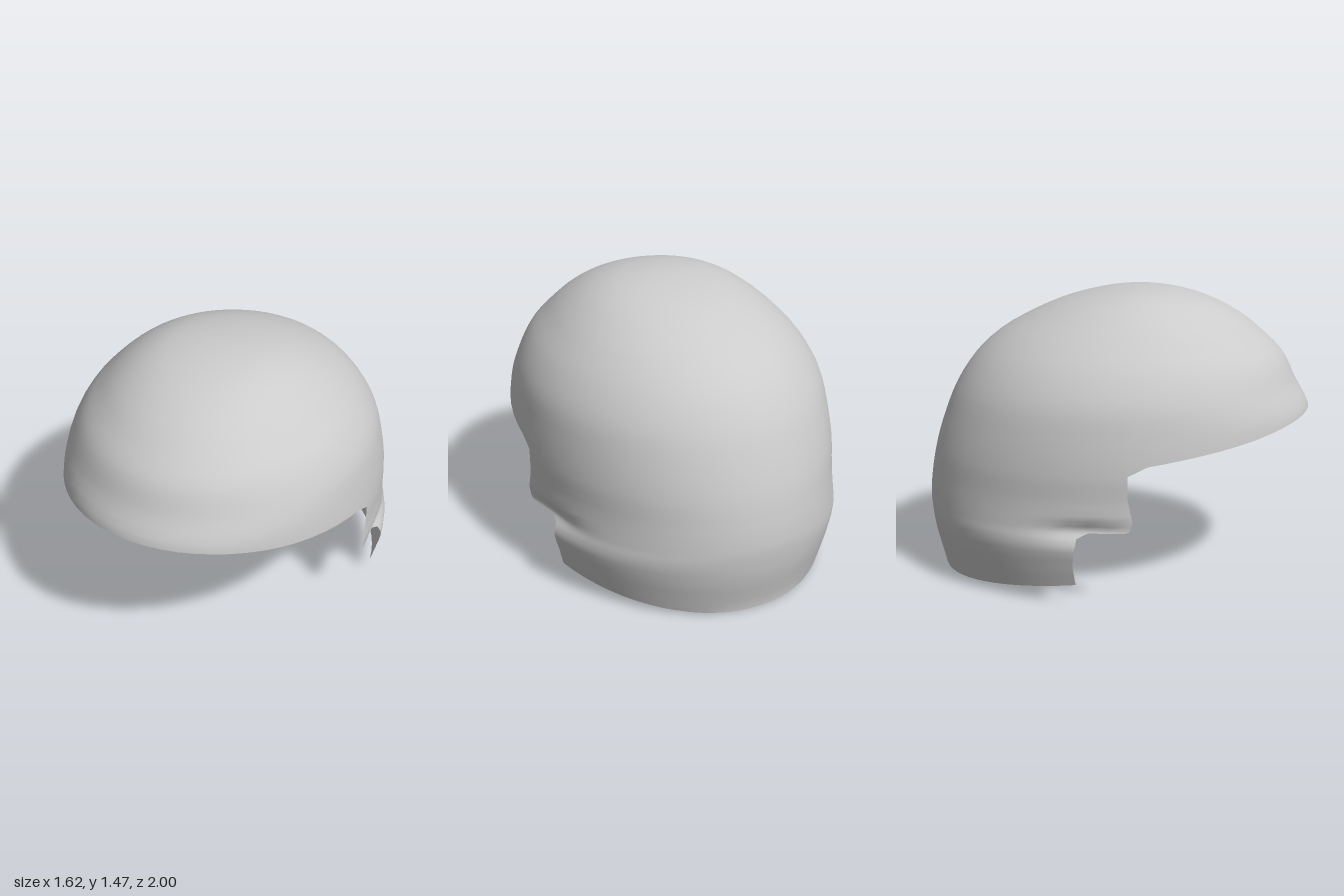
import * as THREE from 'three';

// Horizontal sections of the shell: height, half width, front z, back z, centre z
const SECTIONS = [
  [0, 0.755, 1, -0.93, 0.02], [0.1, 0.786, 1, -0.955, 0.02], [0.2, 0.815, 1, -0.98, 0.02],
  [0.3, 0.836, 1, -0.995, 0.02], [0.38, 0.82, 1, -1, 0.02], [0.5, 0.808, 1, -0.99, 0.02],
  [0.66, 0.81, 1, -0.96, 0.02], [0.845, 0.79, 1, -0.9, 0.02], [0.98, 0.76, 0.93, -0.84, 0.03],
  [1.12, 0.685, 0.86, -0.745, 0.05], [1.23, 0.59, 0.75, -0.625, 0.06], [1.31, 0.505, 0.65, -0.49, 0.08],
  [1.4, 0.37, 0.48, -0.28, 0.1], [1.445, 0.24, 0.33, -0.1, 0.11], [1.467, 0, 0.12, 0.12, 0.12],
];
const RIM = 0.66, TOP = 1.467;

// Front brim height by z, and front limit (z) of the nape by height
const BRIM = [[0.02, 0.66], [0.1, 0.703], [0.3, 0.733], [0.6, 0.777], [0.9, 0.83], [1, 0.845]];
const EAR_EDGE = [[0.1, -0.23], [0.2, -0.245], [0.28, -0.24], [0.345, -0.225], [0.37, -0.17],
  [0.375, 0.01], [0.385, 0.03], [0.43, 0.045], [0.55, 0.02], [0.66, 0.02]];

// Elevation: an angle on the dome, continuing straight down below it
const toAngle = (y) => {
  const s = (y - RIM) / (TOP - RIM);
  return s > 0 ? Math.asin(Math.min(s, 1)) : s;
};
const toHeight = (a) => RIM + (TOP - RIM) * (a > 0 ? Math.sin(a) : a);
const KNOTS = SECTIONS.map((s) => toAngle(s[0]));

function linear(table, v) {
  if (v <= table[0][0]) return table[0][1];
  for (let i = 1; i < table.length; i++) {
    const [v0, r0] = table[i - 1], [v1, r1] = table[i];
    if (v <= v1) return r0 + (r1 - r0) * (v - v0) / (v1 - v0);
  }
  return table[table.length - 1][1];
}

// Smooth interpolation of one section column
function section(a, col) {
  const last = KNOTS.length - 1;
  let i = 0;
  while (i < last - 1 && a > KNOTS[i + 1]) i++;
  const slope = (k) => {
    const p = Math.max(k - 1, 0), n = Math.min(k + 1, last);
    return (SECTIONS[n][col] - SECTIONS[p][col]) / (KNOTS[n] - KNOTS[p]);
  };
  const h = KNOTS[i + 1] - KNOTS[i];
  const t = Math.min(Math.max((a - KNOTS[i]) / h, 0), 1), t2 = t * t, t3 = t2 * t;
  return (2 * t3 - 3 * t2 + 1) * SECTIONS[i][col] + (t3 - 2 * t2 + t) * h * slope(i)
    + (3 * t2 - 2 * t3) * SECTIONS[i + 1][col] + (t3 - t2) * h * slope(i + 1);
}

// Point of the shell: phi runs round from the back, a is the elevation
function shellPoint(phi, a) {
  const y = toHeight(a), c = Math.cos(phi), zc = section(a, 4);
  const z = zc - c * (c > 0 ? zc - section(a, 3) : section(a, 2) - zc);
  // Small pinch above each ear cut-out
  const pinch = 0.032 * Math.exp(-(((y - 0.38) / 0.045) ** 2) - ((z + 0.17) / 0.2) ** 2);
  return new THREE.Vector3((section(a, 1) - pinch) * Math.sin(phi), y, z);
}

function shellNormal(phi, a) {
  if (a > Math.PI / 2 - 0.01) return new THREE.Vector3(0, 1, 0);
  const e = 0.008;
  const dPhi = shellPoint(phi + e, a).sub(shellPoint(phi - e, a));
  const dA = shellPoint(phi, a + e).sub(shellPoint(phi, a - e));
  return dA.cross(dPhi).normalize();
}

// Grid over the shell; place(row, u) returns [phi, a], u from -1 to 1
function patch(name, rows, cols, place) {
  const pos = [], nor = [], idx = [];
  for (let r = 0; r <= rows; r++) {
    for (let c = 0; c <= cols; c++) {
      const [phi, a] = place(r, (2 * c) / cols - 1);
      pos.push(...shellPoint(phi, a).toArray());
      nor.push(...shellNormal(phi, a).toArray());
      if (r < rows && c < cols) {
        const p = r * (cols + 1) + c, q = p + cols + 1;
        idx.push(p, q, p + 1, p + 1, q, q + 1);
      }
    }
  }
  const geo = new THREE.BufferGeometry();
  geo.setAttribute('position', new THREE.Float32BufferAttribute(pos, 3));
  geo.setAttribute('normal', new THREE.Float32BufferAttribute(nor, 3));
  geo.setIndex(idx);
  const mesh = new THREE.Mesh(geo, new THREE.MeshStandardMaterial({ color: 0xcccccc, side: THREE.DoubleSide }));
  mesh.name = name;
  return mesh;
}

export function createModel() {
  const group = new THREE.Group();
  group.name = 'headShell';

  // Crown: closed dome down to the sloping brim
  const crownRows = 24;
  group.add(patch('crown', crownRows, 64, (r, u) => {
    const phi = u * Math.PI;
    const base = toAngle(linear(BRIM, 0.02 - 0.98 * Math.cos(phi)));
    return [phi, base + (Math.PI / 2 - base) * (r / crownRows)];
  }));

  // Nape: wraps the back and sides, stepped at the ears, with a sloping hem
  const levels = [0.1, 0.15, 0.2, 0.24, 0.28, 0.315, 0.345, 0.36, 0.37, 0.375, 0.385, 0.405,
    0.43, 0.46, 0.5, 0.55, 0.6, 0.66];
  group.add(patch('nape', levels.length - 1, 32, (r, u) => {
    const y = levels[r], a = toAngle(y), zc = section(a, 4);
    const d = zc - linear(EAR_EDGE, y);
    const reach = Math.acos(d / (d > 0 ? zc - section(a, 3) : section(a, 2) - zc));
    const phi = u * reach;
    const z = shellPoint(phi, a).z;
    const drop = Math.min(0, (z + 0.23) / 7) * Math.max(0, (0.345 - y) / 0.245);
    return [phi, toAngle(Math.max(0, y + drop))];
  }));

  return group;
}
